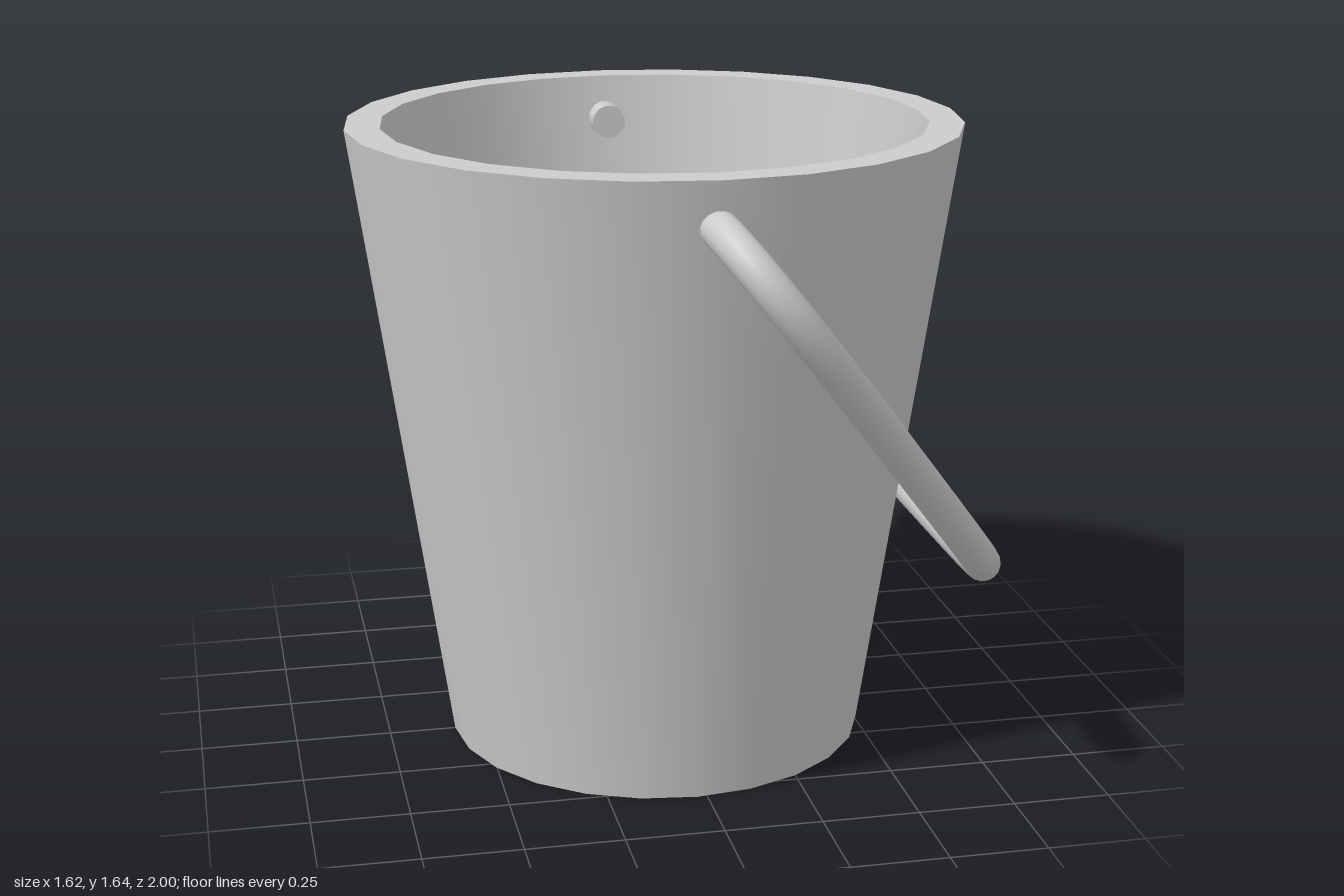
import * as THREE from 'three';
import { toCreasedNormals } from 'three/addons/utils/BufferGeometryUtils.js';

export function createModel() {
  const model = new THREE.Group();
  model.name = 'bucket';
  const material = new THREE.MeshStandardMaterial({ color: 0xcccccc });
  const add = (name, geometry, parent = model) => {
    const mesh = new THREE.Mesh(geometry, material);
    mesh.name = name;
    parent.add(mesh);
    return mesh;
  };

  // Tapered thick-walled pail: base, outer wall, rim, inner wall, floor
  const profile = [[0, 0], [0.55, 0], [0.79, 1.64], [0.7, 1.64], [0.47, 0.06], [0, 0.06]]
    .map(([r, y]) => new THREE.Vector2(r, y));
  const pail = add('pail', toCreasedNormals(new THREE.LatheGeometry(profile, 24), 0.6));
  pail.position.x = -0.025;

  // Swinging handle, drawn flat (drop below pivot, z) and tilted towards +x
  const handle = new THREE.Group();
  handle.name = 'handle';
  handle.position.set(-0.028, 1.522, 0);
  handle.rotation.z = Math.atan2(0.79, 1.01);
  model.add(handle);

  const radius = 0.046;
  const half = [
    [0, 0.62], [0, 0.77], [0.03, 0.865], [0.1, 0.93], [0.2, 0.954], [0.4, 0.918],
    [0.76, 0.785], [1.07, 0.648], [1.17, 0.582], [1.228, 0.49], [1.265, 0.3],
  ];
  const points = [
    ...half,
    [1.276, 0],
    ...half.map(([drop, z]) => [drop, -z]).reverse(),
  ].map(([drop, z]) => new THREE.Vector3(0, -drop, z));
  const path = new THREE.CatmullRomCurve3(points, false, 'centripetal');
  add('handleBar', new THREE.TubeGeometry(path, 120, radius, 16), handle);

  // Flat ends of the handle inside the pail
  for (const side of [1, -1]) {
    const cap = add('handleEnd', new THREE.CircleGeometry(radius, 16), handle);
    cap.position.z = side * 0.62;
    if (side > 0) cap.rotation.y = Math.PI;
  }
  return model;
}
